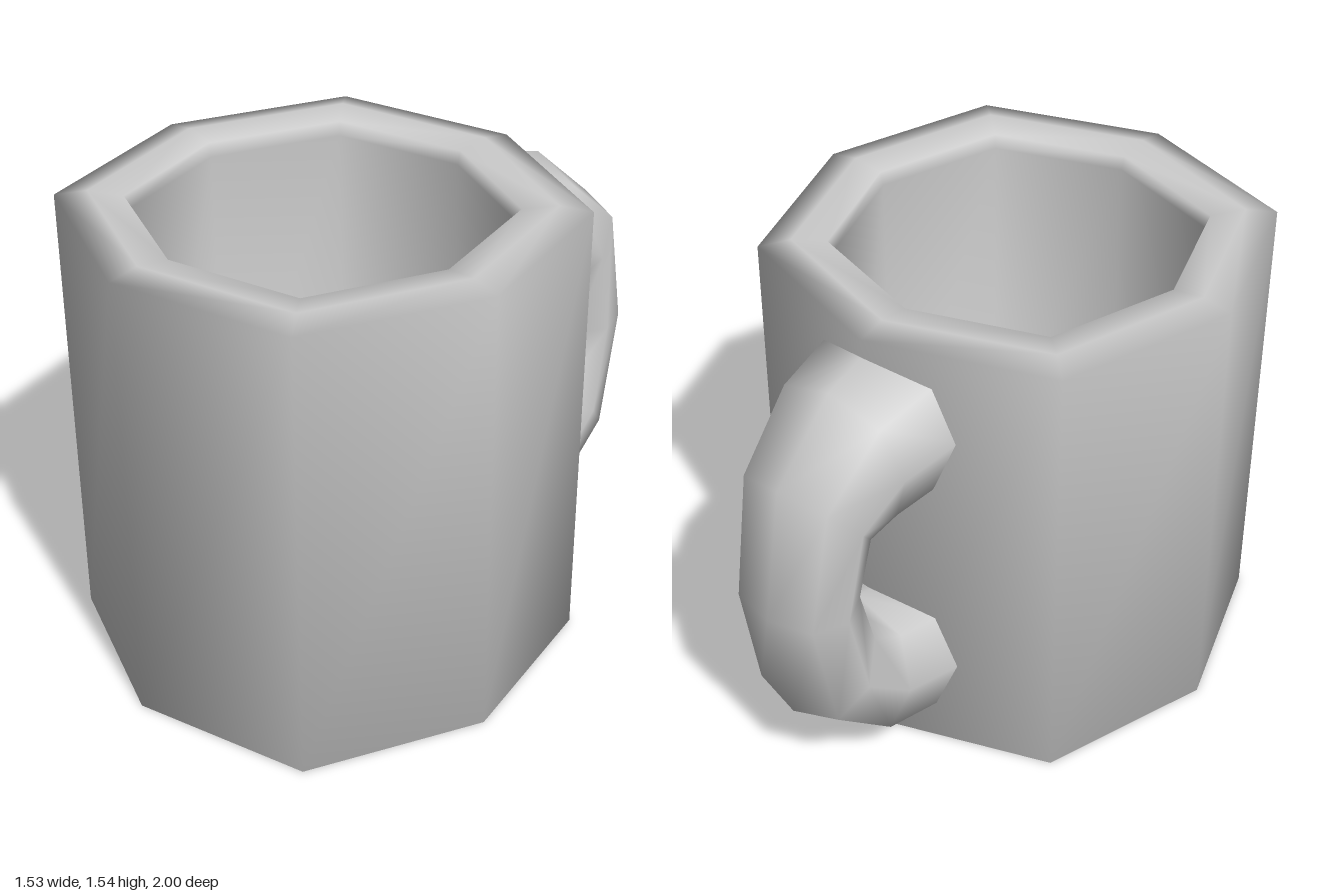
import * as THREE from 'three';

const SIDES = 8;

// Points of a slightly squared octagon as [sin, cos] pairs
const octagon = Array.from({ length: SIDES }, (_, j) => {
  const a = (j * Math.PI * 2) / SIDES;
  const bulge = j % 2 ? 1.06 : 1;
  return [Math.sin(a) * bulge, Math.cos(a) * bulge];
});

// Smooth skin over a list of rings with shared vertices
function loft(name, rings) {
  const index = [];
  for (let i = 0; i < rings.length - 1; i++) {
    for (let j = 0; j < SIDES; j++) {
      const k = (j + 1) % SIDES;
      const a = i * SIDES + j, b = i * SIDES + k;
      index.push(a, b, b + SIDES, a, b + SIDES, a + SIDES);
    }
  }
  const geometry = new THREE.BufferGeometry();
  geometry.setAttribute('position', new THREE.Float32BufferAttribute(rings.flat(2), 3));
  geometry.setIndex(index);
  geometry.computeVertexNormals();
  const material = new THREE.MeshStandardMaterial({ color: 0xcccccc, side: THREE.DoubleSide });
  const mesh = new THREE.Mesh(geometry, material);
  mesh.name = name;
  return mesh;
}

export function createModel() {
  const group = new THREE.Group();
  group.name = 'mug';

  // Cup: [radius, height] from the underside over the rim to the inner floor
  const centreZ = 0.23;
  const profile = [
    [0, 0], [0.767, 0], [0.767, 1.522], [0.67, 1.54],
    [0.565, 1.525], [0.555, 1.48], [0.555, 0.15], [0, 0.15],
  ];
  group.add(loft('cup', profile.map(([r, y]) =>
    octagon.map(([s, c]) => [r * s, y, centreZ + r * c]))));

  // Handle: outer [z, y], inner [z, y] and half width, from the middle up to the wall
  const midY = 0.773;
  const upper = [
    [[-1, midY], [-0.717, midY], 0.197],
    [[-0.92, 1.207], [-0.675, 0.938], 0.212],
    [[-0.684, 1.42], [-0.6, 0.957], 0.243],
    [[-0.53, 1.465], [-0.53, 0.972], 0.275],
  ];
  const flip = ([z, y]) => [z, 2 * midY - y];
  const lower = upper.slice(1).reverse().map(([o, i, w]) => [flip(o), flip(i), w]);
  const sections = [...lower, ...upper];
  const rings = sections.map(([o, i, w], n) => octagon.map(([s, c]) => {
    const x = -w * s;
    const t = (1 + c) / 2;
    let z = i[0] + (o[0] - i[0]) * t;
    // End sections follow the corner of the cup wall, sunk in slightly
    if (n === 0 || n === sections.length - 1) z = -0.525 + Math.abs(x) / 3;
    return [x, i[1] + (o[1] - i[1]) * t, z];
  }));
  group.add(loft('handle', rings));

  return group;
}
